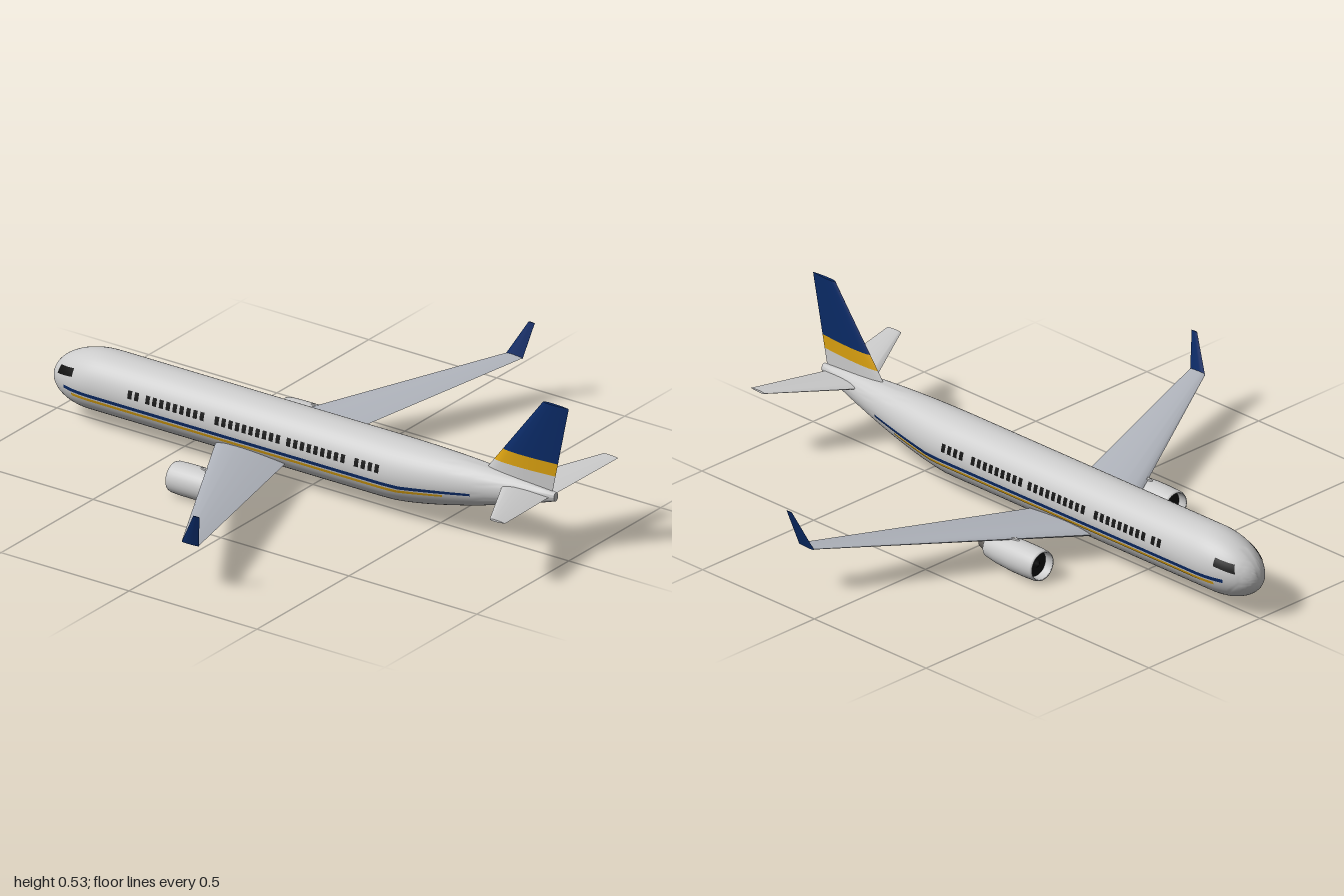
import * as THREE from 'three';
import { mergeGeometries, mergeVertices, toCreasedNormals } from 'three/addons/utils/BufferGeometryUtils.js';

const mat = (color, side = THREE.FrontSide) =>
  new THREE.MeshStandardMaterial({ color, side, roughness: 0.7 });
const WHITE = mat(0xececec), WING = mat(0xb0b4bc), BLUE = mat(0x0a2a66), GOLD = mat(0xd9a010);
const BLACK = mat(0x111111, THREE.DoubleSide), CORE = mat(0x66625e, THREE.DoubleSide);
const BLUE_LINE = mat(0x0a2a66, THREE.DoubleSide), GOLD_LINE = mat(0xd9a010, THREE.DoubleSide);

// Fuselage outline at station x: centre height, half height, half width
function hull(x) {
  const nose = len => {
    const u = Math.min(1, Math.max(0, (x + 1) / len));
    return Math.sqrt(1 - (1 - u) ** 2);
  };
  const t = Math.max(0, (x - 0.33) / 0.62);
  const top = 0.13 + 0.125 * nose(0.22) - 0.03 * t ** 3;
  const bottom = 0.13 - 0.085 * nose(0.15) + 0.15 * t ** 1.4;
  const w = 0.1 * nose(0.2) - 0.088 * t ** 1.5;
  return { yc: (top + bottom) / 2, h: (top - bottom) / 2, w };
}

// Skin through equal-length rings of points, capped, always facing outwards
function loft(rings, crease = 0.7) {
  const n = rings[0].length, pos = rings.flat(2), idx = [];
  for (let r = 0; r < rings.length - 1; r++)
    for (let i = 0; i < n; i++) {
      const a = r * n + i, b = r * n + (i + 1) % n;
      idx.push(a, b, a + n, b, b + n, a + n);
    }
  const last = (rings.length - 1) * n;
  for (let i = 1; i < n - 1; i++) idx.push(0, i + 1, i, last, last + i, last + i + 1);
  const v = i => new THREE.Vector3().fromArray(pos, i * 3);
  const centre = v(0);
  let volume = 0;
  for (let i = 0; i < idx.length; i += 3) {
    const [a, b, c] = [v(idx[i]), v(idx[i + 1]), v(idx[i + 2])].map(p => p.sub(centre));
    volume += a.dot(b.cross(c));
  }
  if (volume < 0) idx.reverse();
  const g = new THREE.BufferGeometry();
  g.setAttribute('position', new THREE.Float32BufferAttribute(pos, 3));
  g.setIndex(idx);
  return toCreasedNormals(g, crease);
}

// Aerofoil ring from leading edge x0 to trailing edge x1; axis 1 = thick in y, 2 = thick in z
function foil(x0, x1, y, z, thick, axis) {
  const ring = [], n = 8;
  for (let i = 0; i < 2 * n; i++) {
    const s = (1 - Math.cos(Math.PI * i / n)) / 2;
    const half = 1.3 * thick * Math.sqrt(s) * (1 - s) * (i < n ? 1 : -1);
    const p = [x0 + (x1 - x0) * s, y, z];
    p[axis] += half;
    ring.push(p);
  }
  return ring;
}

// Four-cornered patch [x, y] laid on the fuselage side
function patch(corners, side, nx = 2, ny = 2) {
  const [a, b, c, d] = corners, g = new THREE.PlaneGeometry(1, 1, nx, ny);
  const p = g.attributes.position;
  for (let i = 0; i < p.count; i++) {
    const u = p.getX(i) + 0.5, v = p.getY(i) + 0.5;
    const mix = k => (a[k] * (1 - u) + b[k] * u) * (1 - v) + (d[k] * (1 - u) + c[k] * u) * v;
    const x = mix(0), y = mix(1), { yc, h, w } = hull(x);
    const z = w * Math.sqrt(Math.max(0, 1 - ((y - yc) / h) ** 2)) + 0.002;
    p.setXYZ(i, x, y, side * z);
  }
  if (side < 0) g.index.array.reverse();
  g.computeVertexNormals();
  return g;
}

// Body of revolution about the x axis from [radius, x] points
function turned(points) {
  const g = new THREE.LatheGeometry(points.map(p => new THREE.Vector2(...p)), 32);
  return g.rotateZ(-Math.PI / 2);
}

export function createModel() {
  const model = new THREE.Group();
  const add = (name, geometry, material, parent = model) => {
    const m = new THREE.Mesh(geometry, material);
    m.name = name;
    parent.add(m);
    return m;
  };

  // Fuselage, with stations packed towards the nose
  const rings = [];
  for (let i = 0; i <= 70; i++) {
    const x = -1 + 1.95 * Math.max(0.000001, (i / 70) ** 1.8), { yc, h, w } = hull(x);
    rings.push(Array.from({ length: 48 }, (_, k) => {
      const a = k / 48 * Math.PI * 2;
      return [x, yc + h * Math.cos(a), w * Math.sin(a)];
    }));
  }
  add('fuselage', loft(rings, 1), WHITE);

  // Tail fin in three painted bands
  const finRing = y => {
    const k = (y - 0.255) / 0.275;
    return foil(0.69 + 0.21 * k, 0.943 + 0.057 * k, y, 0, 0.02 - 0.008 * k, 2);
  };
  const bands = [['finBase', 0.225, 0.28, WHITE], ['finBand', 0.28, 0.325, GOLD], ['fin', 0.325, 0.53, BLUE]];
  for (const [name, y0, y1, m] of bands) add(name, loft([finRing(y0), finRing(y1)]), m);

  // Window rows: [first x, count]
  const rows = [[-0.645, 2], [-0.575, 9], [-0.305, 10], [-0.025, 9], [0.24, 4]];

  for (const side of [1, -1]) {
    const label = side > 0 ? 'left' : 'right';
    const half = new THREE.Group();
    half.name = label + 'Side';
    model.add(half);

    // Wing, winglet and tailplane
    add('wing', loft([
      foil(-0.34, -0.06, 0.085, side * 0.05, 0.032, 1),
      foil(0.12, 0.187, 0.163, side * 0.88, 0.009, 1)]), WING, half);
    add('winglet', loft([
      foil(0.12, 0.187, 0.16, side * 0.88, 0.007, 2),
      foil(0.188, 0.212, 0.28, side * 0.912, 0.004, 2)]), BLUE, half);
    add('tailplane', loft([
      foil(0.745, 0.93, 0.207, 0, 0.02, 1),
      foil(0.912, 0.972, 0.237, side * 0.308, 0.007, 1)]), WHITE, half);

    // Engine: cowl, fan, exhaust core and pylon
    const engine = new THREE.Group();
    engine.name = 'engine';
    engine.position.set(0, 0.054, side * 0.3);
    half.add(engine);
    add('cowl', turned([[0.043, -0.28], [0.044, -0.31], [0.046, -0.323], [0.049, -0.326], [0.052, -0.318],
      [0.054, -0.28], [0.054, -0.22], [0.05, -0.15], [0.043, -0.1], [0.041, -0.1], [0.045, -0.15]]), WHITE, engine);
    add('fan', turned([[0, -0.312], [0.01, -0.303], [0.015, -0.296], [0.044, -0.296]]), BLACK, engine);
    add('exhaustDuct', turned([[0.046, -0.14], [0, -0.14]]), BLACK, engine);
    add('exhaustCore', turned([[0.031, -0.14], [0.031, -0.1], [0.022, -0.06], [0.018, -0.06],
      [0.015, -0.075], [0.011, -0.06], [0, -0.035]]), CORE, engine);
    add('pylon', loft([
      foil(-0.24, -0.04, 0.028, 0, 0.016, 2),
      foil(-0.22, -0.03, 0.058, 0, 0.016, 2)]), WHITE, engine);

    // Cabin and cockpit windows
    const panes = rows.flatMap(([x0, count]) => Array.from({ length: count }, (_, i) => {
      const x = x0 + i * 0.0265;
      return patch([[x - 0.008, 0.163], [x + 0.008, 0.163], [x + 0.008, 0.19], [x - 0.008, 0.19]], side);
    }));
    add('cabinWindows', mergeGeometries(panes), BLACK, half);
    add('cockpitWindow', patch([[-0.952, 0.16], [-0.878, 0.174], [-0.877, 0.2], [-0.942, 0.189]], side, 8, 4), BLACK, half);

    // Cheat lines sweeping up towards the tail
    const line = (x0, x1, x2, y, yEnd, t) => mergeVertices(mergeGeometries([
      patch([[x0, y], [x1, y], [x1, y + t], [x0, y + t]], side, 40, 2),
      patch([[x1, y], [x2, yEnd], [x2, yEnd + t * 0.7], [x1, y + t]], side, 16, 2)]));
    add('blueLine', line(-0.915, 0.4, 0.66, 0.124, 0.159, 0.012), BLUE_LINE, half);
    add('goldLine', line(-0.88, 0.39, 0.56, 0.109, 0.134, 0.01), GOLD_LINE, half);
  }
  return model;
}
